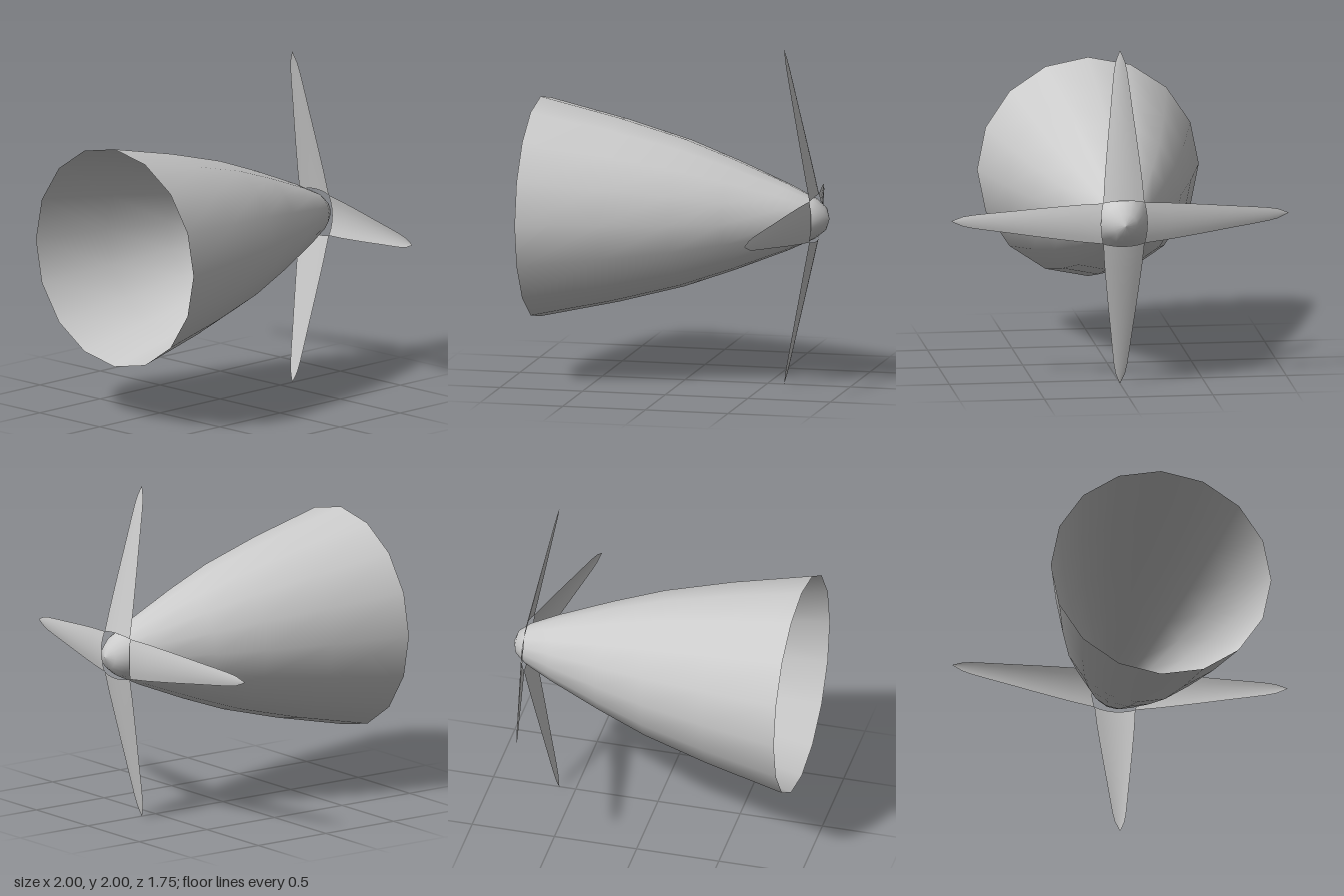
import * as THREE from 'three';

const material = new THREE.MeshStandardMaterial({ color: 0xcccccc, side: THREE.DoubleSide });

// Open, sixteen-sided trumpet with a rounded closed end at the back
function makeTrumpet() {
  const profile = [
    [0, -0.875], [0.07, -0.85], [0.122, -0.785], [0.2, -0.62], [0.33, -0.3],
    [0.44, 0], [0.55, 0.4], [0.658, 0.875],
  ].map(([r, z]) => new THREE.Vector2(r, z));
  const mesh = new THREE.Mesh(new THREE.LatheGeometry(profile, 16).rotateX(Math.PI / 2), material);
  mesh.name = 'trumpet';
  return mesh;
}

// Slender blade: sections of [distance along blade, half width]
function makePetalGeometry() {
  const sections = [
    [0, 0.122], [0.15, 0.112], [0.3, 0.098], [0.45, 0.083], [0.6, 0.067],
    [0.75, 0.052], [0.86, 0.04], [0.925, 0.029], [0.97, 0.013], [1, 0.001],
  ];
  const across = 6;
  const geometry = new THREE.PlaneGeometry(1, 1, across, sections.length - 1);
  const pos = geometry.attributes.position;
  for (let i = 0; i < pos.count; i++) {
    const [t, halfWidth] = sections[Math.floor(i / (across + 1))];
    const u = ((i % (across + 1)) / across) * 2 - 1;
    // shallow arch bulging backwards, fading towards the tip
    const arch = (1 - u * u) * (halfWidth / 0.122);
    pos.setXYZ(i, u * halfWidth, 0.122 + 0.878 * t + 0.015 * arch, -0.782 + 0.182 * t - 0.014 * arch);
  }
  geometry.computeVertexNormals();
  return geometry;
}

export function createModel() {
  const model = new THREE.Group();
  model.name = 'flower';
  const bloom = new THREE.Group();
  bloom.name = 'bloom';
  bloom.position.y = 1;
  bloom.add(makeTrumpet());

  // Four petals around the closed end
  const petalGeometry = makePetalGeometry();
  ['topPetal', 'leftPetal', 'bottomPetal', 'rightPetal'].forEach((name, i) => {
    const petal = new THREE.Mesh(petalGeometry, material);
    petal.name = name;
    petal.rotation.z = -i * Math.PI / 2;
    bloom.add(petal);
  });

  model.add(bloom);
  return model;
}
